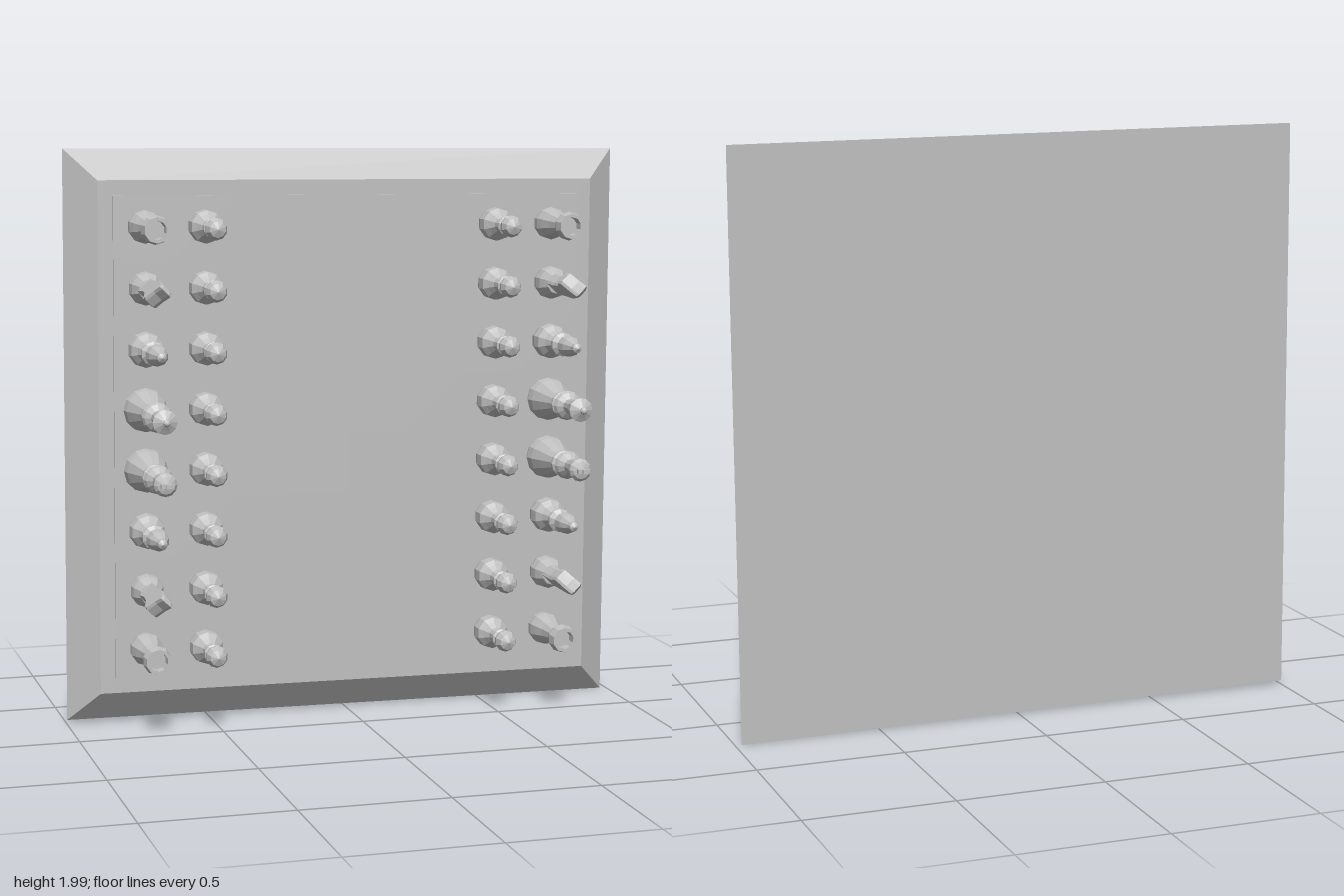
import * as THREE from 'three';

const grey = new THREE.MeshStandardMaterial({ color: 0xc0c0c0, flatShading: true });
grey.name = 'plainGrey';

const PITCH = 0.208;   // size of one square
const BOARD = 0.08;    // board thickness
const TILE = 0.007;    // raised squares

function add(parent, geometry, name) {
  const mesh = new THREE.Mesh(geometry, grey);
  mesh.name = name;
  parent.add(mesh);
  return mesh;
}

// Turned profiles: [radius, height above the square]
const profiles = {
  pawn: [[0.054, 0], [0.058, 0.02], [0.056, 0.06], [0.042, 0.075], [0.026, 0.095], [0.02, 0.135],
    [0.034, 0.152], [0.034, 0.158], [0.022, 0.166], [0.036, 0.185], [0.038, 0.202], [0.028, 0.225], [0, 0.236]],
  rook: [[0.055, 0], [0.057, 0.03], [0.05, 0.06], [0.038, 0.1], [0.028, 0.15], [0.03, 0.175],
    [0.046, 0.19], [0.05, 0.205], [0.044, 0.24], [0.032, 0.24], [0.031, 0.2], [0, 0.2]],
  knightBase: [[0.052, 0], [0.058, 0.025], [0.055, 0.06], [0.046, 0.08], [0.036, 0.1], [0, 0.105]],
  bishop: [[0.056, 0], [0.062, 0.03], [0.058, 0.065], [0.04, 0.085], [0.026, 0.11], [0.022, 0.145],
    [0.042, 0.158], [0.042, 0.168], [0.024, 0.18], [0.038, 0.212], [0.034, 0.25], [0.018, 0.29],
    [0.016, 0.31], [0, 0.32]],
  queen: [[0.07, 0], [0.076, 0.02], [0.072, 0.05], [0.058, 0.09], [0.043, 0.13], [0.032, 0.165],
    [0.046, 0.178], [0.046, 0.19], [0.027, 0.2], [0.052, 0.222], [0.046, 0.235], [0.026, 0.25],
    [0.03, 0.3], [0.042, 0.355], [0.028, 0.362], [0.01, 0.372], [0, 0.372]],
  king: [[0.07, 0], [0.076, 0.02], [0.072, 0.055], [0.058, 0.1], [0.044, 0.14], [0.032, 0.175],
    [0.046, 0.188], [0.046, 0.2], [0.028, 0.21], [0.05, 0.235], [0.044, 0.25], [0.026, 0.27],
    [0.03, 0.31], [0.04, 0.36], [0.03, 0.372], [0, 0.38]],
};

function turned(parent, kind, sides) {
  const points = profiles[kind].map(([r, h]) => new THREE.Vector2(r, h));
  return add(parent, new THREE.LatheGeometry(points, sides), kind + 'Body');
}

// Upright horse head with a slanted top
function horseHead(parent, angle) {
  const s = new THREE.Shape();
  [[-0.034, 0.08], [0.034, 0.08], [0.026, 0.15], [0.03, 0.2], [0.046, 0.235], [0.046, 0.265],
    [0.01, 0.29], [-0.014, 0.32], [-0.028, 0.3], [-0.036, 0.24], [-0.03, 0.15]]
    .forEach(([x, y], i) => (i ? s.lineTo(x, y) : s.moveTo(x, y)));
  const g = new THREE.ExtrudeGeometry(s, {
    depth: 0.03, bevelEnabled: true, bevelThickness: 0.01, bevelSize: 0.004, bevelOffset: -0.004, bevelSegments: 1,
  });
  g.translate(0, 0, -0.015);
  add(parent, g, 'knightHead').rotation.y = angle;
}

function makePiece(kind, side) {
  const piece = new THREE.Group();
  piece.name = kind;
  if (kind === 'knight') {
    turned(piece, 'knightBase', 10);
    horseHead(piece, side < 0 ? Math.PI * 1.25 : Math.PI * 0.75);
    return piece;
  }
  turned(piece, kind, kind === 'queen' || kind === 'king' ? 12 : 10);
  if (kind === 'queen') {
    add(piece, new THREE.SphereGeometry(0.013, 8, 6), 'queenFinial').position.y = 0.383;
  }
  if (kind === 'king') {
    add(piece, new THREE.BoxGeometry(0.014, 0.04, 0.014), 'kingCrossPost').position.y = 0.391;
    add(piece, new THREE.BoxGeometry(0.044, 0.014, 0.014), 'kingCrossBar').position.y = 0.392;
  }
  return piece;
}

export function createModel() {
  const model = new THREE.Group();
  model.name = 'chessSet';

  // Everything sits on a board hung very slightly askew
  const set = new THREE.Group();
  set.name = 'boardAndPieces';
  set.position.set(-0.003, 1, -0.247);
  set.rotation.set(-0.0025, -0.006, -0.0075);
  model.add(set);

  // Board with bevelled rim
  const slab = new THREE.CylinderGeometry(0.884 * Math.SQRT2, 0.989 * Math.SQRT2, BOARD, 4, 1);
  slab.rotateY(Math.PI / 4).rotateX(Math.PI / 2).translate(0, 0, BOARD / 2);
  add(set, slab, 'board');

  // Eight by eight squares
  const square = new THREE.BoxGeometry(PITCH, PITCH, TILE);
  const squares = new THREE.Group();
  squares.name = 'squares';
  set.add(squares);
  for (let i = 0; i < 8; i++) {
    for (let j = 0; j < 8; j++) {
      add(squares, square, 'square').position.set((i - 3.5) * PITCH, (j - 3.5) * PITCH, BOARD + TILE / 2);
    }
  }

  // Two armies, listed from the bottom rank upward
  const order = ['rook', 'knight', 'bishop', 'king', 'queen', 'bishop', 'knight', 'rook'];
  for (const side of [-1, 1]) {
    const army = new THREE.Group();
    army.name = side < 0 ? 'rightArmy' : 'leftArmy';
    set.add(army);
    order.forEach((kind, j) => {
      [[kind, 3.5], ['pawn', 2.5]].forEach(([k, column]) => {
        const piece = makePiece(k, side);
        piece.position.set(side * column * PITCH, (j - 3.5) * PITCH, BOARD + TILE);
        piece.rotation.x = Math.PI / 2;
        army.add(piece);
      });
    });
  }
  return model;
}
